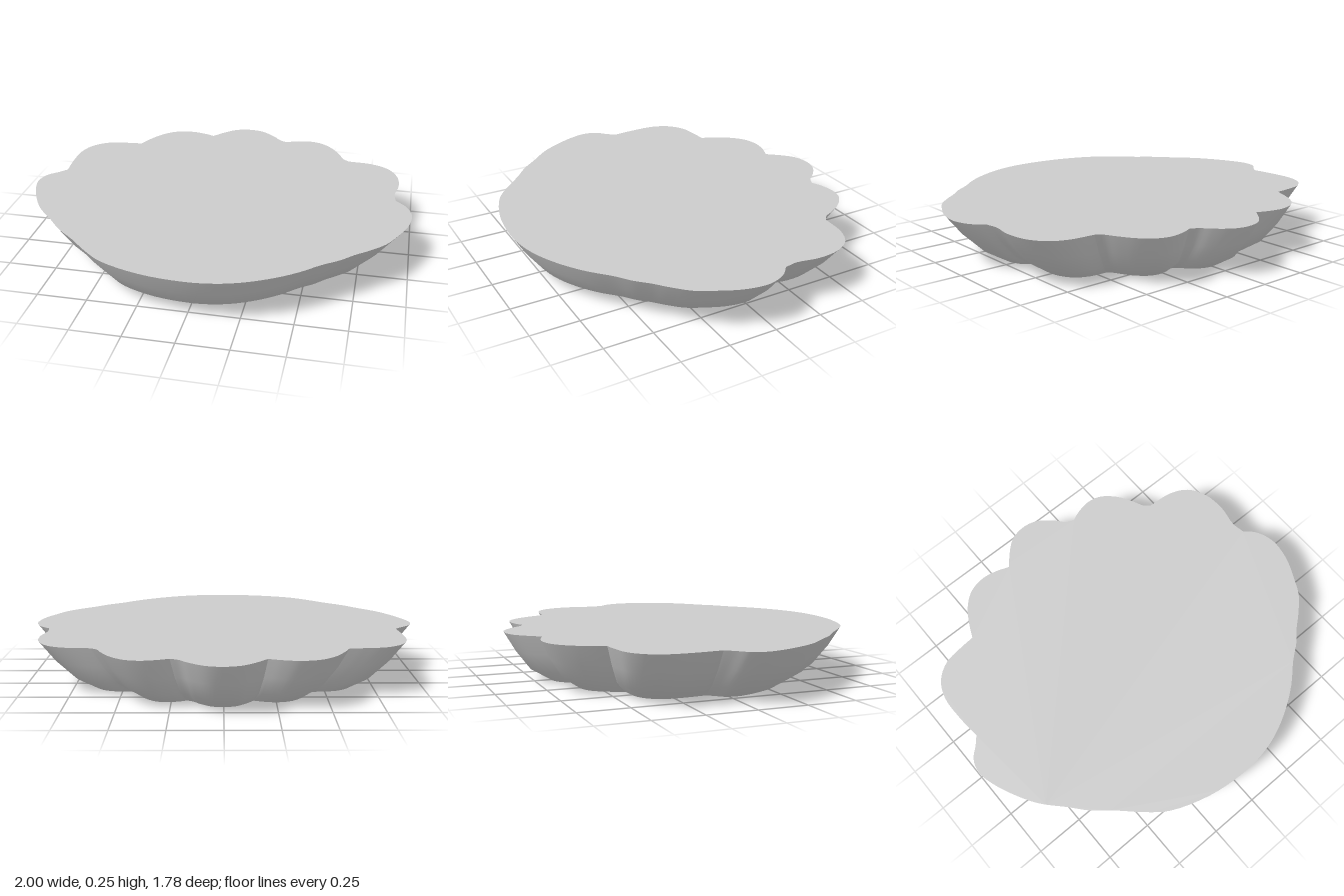
import * as THREE from 'three';

// Rim outline as [x, z] points, one list per scallop, clockwise from above.
const scallops = {
  backPetal: [[-0.2, -0.755], [-0.14, -0.825], [-0.08, -0.875], [0, -0.895], [0.08, -0.88], [0.16, -0.82], [0.205, -0.77], [0.245, -0.75]],
  backLeftPetal: [[0.245, -0.75], [0.3, -0.773], [0.38, -0.787], [0.45, -0.77], [0.52, -0.71], [0.57, -0.63], [0.6, -0.57], [0.63, -0.547]],
  leftPetal: [[0.63, -0.547], [0.76, -0.535], [0.85, -0.49], [0.905, -0.4], [0.918, -0.28], [0.9, -0.17], [0.91, -0.1]],
  frontShell: [[0.91, -0.1], [0.96, -0.05], [0.99, 0.02], [0.995, 0.08], [0.975, 0.18], [0.93, 0.28], [0.88, 0.37], [0.8, 0.45],
    [0.74, 0.5], [0.68, 0.56], [0.6, 0.62], [0.5, 0.71], [0.38, 0.79], [0.25, 0.85], [0.13, 0.88], [0, 0.888], [-0.2, 0.865],
    [-0.4, 0.795], [-0.5, 0.72], [-0.6, 0.625], [-0.7, 0.54], [-0.77, 0.46], [-0.87, 0.35], [-0.94, 0.23], [-0.985, 0.12],
    [-1, 0.04], [-0.98, -0.03], [-0.93, -0.08], [-0.895, -0.12]],
  rightPetal: [[-0.895, -0.12], [-0.905, -0.25], [-0.9, -0.38], [-0.86, -0.47], [-0.78, -0.53], [-0.68, -0.548], [-0.595, -0.555]],
  backRightPetal: [[-0.595, -0.555], [-0.56, -0.63], [-0.51, -0.71], [-0.44, -0.77], [-0.35, -0.792], [-0.27, -0.78], [-0.2, -0.755]],
};

// Flaring wall profile from base to rim: height, x scale, z scale.
const profile = [[0, 0.717, 0.742], [0.06, 0.82, 0.855], [0.155, 0.92, 0.935], [0.255, 1, 1]];

function smoothLine(points) {
  const curve = new THREE.CatmullRomCurve3(points.map(([x, z]) => new THREE.Vector3(x, 0, z)));
  return curve.getPoints((points.length - 1) * 4);
}

// Wall strip swept along one scallop
function wallGeometry(line) {
  const position = [], index = [], rows = profile.length;
  line.forEach((p, i) => {
    profile.forEach(([y, sx, sz], j) => {
      position.push(p.x * sx, y, p.z * sz);
      if (i < line.length - 1 && j < rows - 1) {
        const a = i * rows + j, c = a + rows;
        index.push(a, a + 1, c, a + 1, c + 1, c);
      }
    });
  });
  const geometry = new THREE.BufferGeometry();
  geometry.setAttribute('position', new THREE.Float32BufferAttribute(position, 3));
  geometry.setIndex(index);
  geometry.computeVertexNormals();
  return geometry;
}

// Flat cap at one level of the profile, facing up (1) or down (-1)
function capGeometry(outline, [y, sx, sz], facing) {
  const shape = new THREE.Shape(outline.map((p) => new THREE.Vector2(p.x * sx, -facing * p.z * sz)));
  return new THREE.ShapeGeometry(shape).rotateX(-facing * Math.PI / 2).translate(0, y, 0);
}

export function createModel() {
  const group = new THREE.Group();
  const material = new THREE.MeshStandardMaterial({ color: 0xcccccc });
  const add = (name, geometry) => {
    const mesh = new THREE.Mesh(geometry, material);
    mesh.name = name;
    group.add(mesh);
  };

  // Scalloped walls, creased where two scallops meet
  const outline = [];
  for (const [name, points] of Object.entries(scallops)) {
    const line = smoothLine(points);
    add(name, wallGeometry(line));
    outline.push(...line.slice(0, -1));
  }

  // Flat top and base
  add('top', capGeometry(outline, profile[profile.length - 1], 1));
  add('base', capGeometry(outline, profile[0], -1));
  return group;
}
